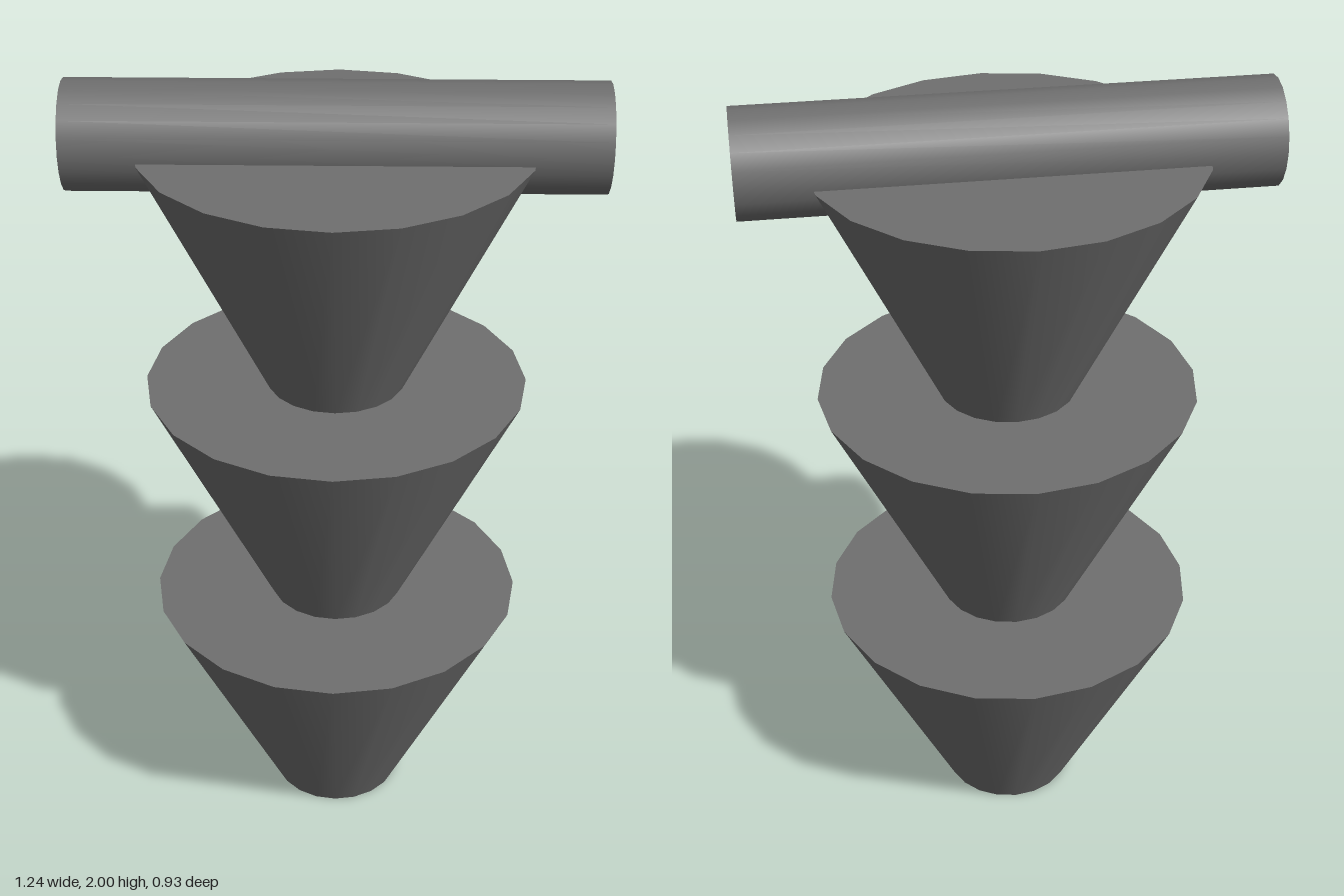
import * as THREE from 'three';

export function createModel() {
  const model = new THREE.Group();
  const material = new THREE.MeshStandardMaterial({ color: 0x6f6f6f });
  const sides = 20;
  const tierHeight = 0.622;
  const tierSpacing = 0.616;

  // Three identical flared tiers, each narrow end sunk slightly into the tier below
  const tierGeometry = new THREE.CylinderGeometry(0.465, 0.166, tierHeight, sides);
  ['lowerTier', 'middleTier', 'upperTier'].forEach((name, i) => {
    const tier = new THREE.Mesh(tierGeometry, material);
    tier.name = name;
    tier.position.y = tierHeight / 2 + i * tierSpacing;
    model.add(tier);
  });

  // Round bar lying across the top, partly sunk into the upper tier
  const barRadius = 0.128;
  const bar = new THREE.Mesh(new THREE.CylinderGeometry(barRadius, barRadius, 1.236, sides), material);
  bar.name = 'crossbar';
  bar.rotation.z = Math.PI / 2;
  bar.position.y = 2 - barRadius;
  model.add(bar);

  return model;
}
